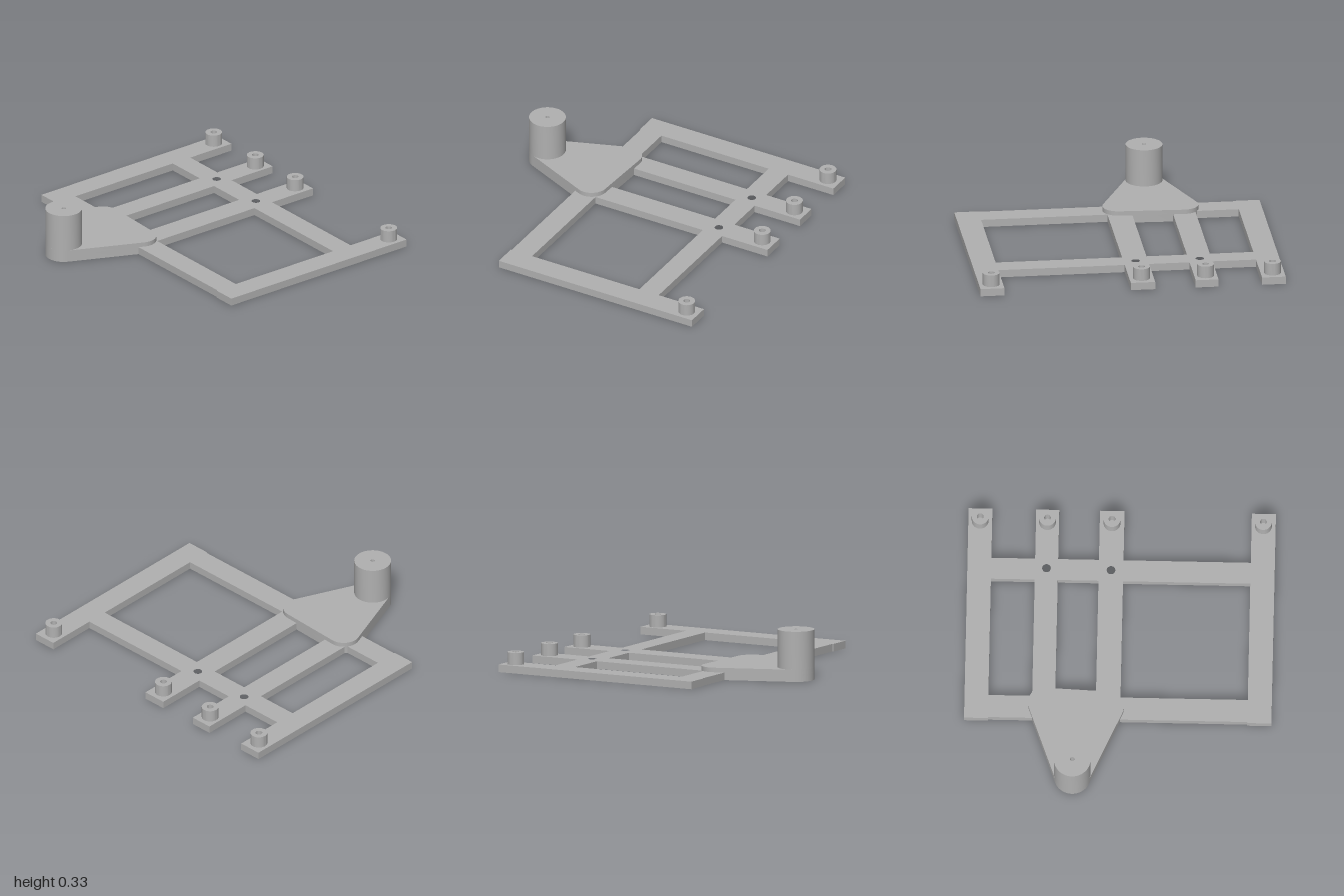
import * as THREE from 'three';
import { toCreasedNormals } from 'three/addons/utils/BufferGeometryUtils.js';

const FRAME_H = 0.05, PLATE_H = 0.08;

export function createModel() {
  const model = new THREE.Group();
  const grey = new THREE.MeshStandardMaterial({ color: 0xb0b0b0 });

  const add = (name, geometry, x = 0, y = 0, z = 0) => {
    const mesh = new THREE.Mesh(geometry, grey);
    mesh.name = name;
    mesh.position.set(x, y, z);
    model.add(mesh);
  };
  // Shapes are drawn in (x, -z) and extruded upwards
  const slab = (shape, height) => {
    const g = new THREE.ExtrudeGeometry(shape, { depth: height, bevelEnabled: false, curveSegments: 24 });
    g.rotateX(-Math.PI / 2);
    return toCreasedNormals(g, 0.5);
  };
  const polygon = (pts, Type = THREE.Shape) => new Type(pts.map(([x, z]) => new THREE.Vector2(x, -z)));
  const hole = (x, z, r) => new THREE.Path().absarc(x, -z, r, 0, Math.PI * 2, true);

  const pivots = [[-0.375, -0.485], [-0.395, -0.065]];
  const screwHoles = [[0.565, -0.485], [0.56, -0.065], ...pivots];
  const arms = [[-1, -0.845], [-0.56, -0.41], [-0.145, 0.015], [0.843, 1]];

  // Flat frame: back beam, cross beam and four arms, as one outline
  const outline = [[-0.48, -1]];
  arms.forEach(([z0, z1], i) => {
    if (i > 0) outline.push([0.63, z0]);
    outline.push([0.97, z0], [0.97, z1]);
    if (i < 3) outline.push([0.63, z1]);
  });
  outline.push([-0.48, 1], [-0.48, 0.843], [-0.473, 0.843], [-0.473, -0.845], [-0.48, -0.845]);
  const frame = polygon(outline);
  for (let i = 0; i < 3; i++) {
    const z0 = arms[i][1], z1 = arms[i + 1][0];
    frame.holes.push(polygon([[-0.32, z0], [-0.32, z1], [0.485, z1], [0.485, z0]], THREE.Path));
  }
  screwHoles.forEach(([x, z]) => frame.holes.push(hole(x, z, 0.028)));
  add('frame', slab(frame, FRAME_H));

  // Rounded triangular bracket: outline wrapped around three circles
  const towerX = -0.855, towerZ = -0.288, towerR = 0.12;
  const circles = [
    { x: towerX, y: -towerZ, r: towerR },
    { x: pivots[1][0], y: -pivots[1][1], r: 0.104 },
    { x: pivots[0][0], y: -pivots[0][1], r: 0.102 },
  ];
  const tangent = (a, b) => Math.atan2(b.y - a.y, b.x - a.x)
    - Math.acos((a.r - b.r) / Math.hypot(b.x - a.x, b.y - a.y));
  const bracketShape = () => {
    const s = new THREE.Shape();
    circles.forEach((c, i) => s.absarc(c.x, c.y, c.r,
      tangent(circles[(i + 2) % 3], c), tangent(c, circles[(i + 1) % 3]), false));
    return s;
  };
  const lower = bracketShape();
  pivots.forEach(([x, z]) => lower.holes.push(hole(x, z, 0.028)));
  add('bracketBase', slab(lower, FRAME_H));
  add('bracketTop', slab(bracketShape(), PLATE_H - FRAME_H), 0, FRAME_H, 0);

  // Upright cylinder with a blind bore in its top
  const bored = (r, bore, floor, height) => toCreasedNormals(new THREE.LatheGeometry(
    [[0, 0], [r, 0], [r, height], [bore, height], [bore, floor], [0, floor]]
      .map(([x, y]) => new THREE.Vector2(x, y)), 48), 0.5);
  add('tower', bored(towerR, 0.014, 0.2, 0.33), towerX, 0, towerZ);

  // Bosses at the arm tips
  [-0.923, -0.485, -0.065, 0.92].forEach((z, i) =>
    add(`boss${i + 1}`, bored(0.055, 0.022, 0.002, 0.08), 0.885, FRAME_H, z));

  return model;
}
